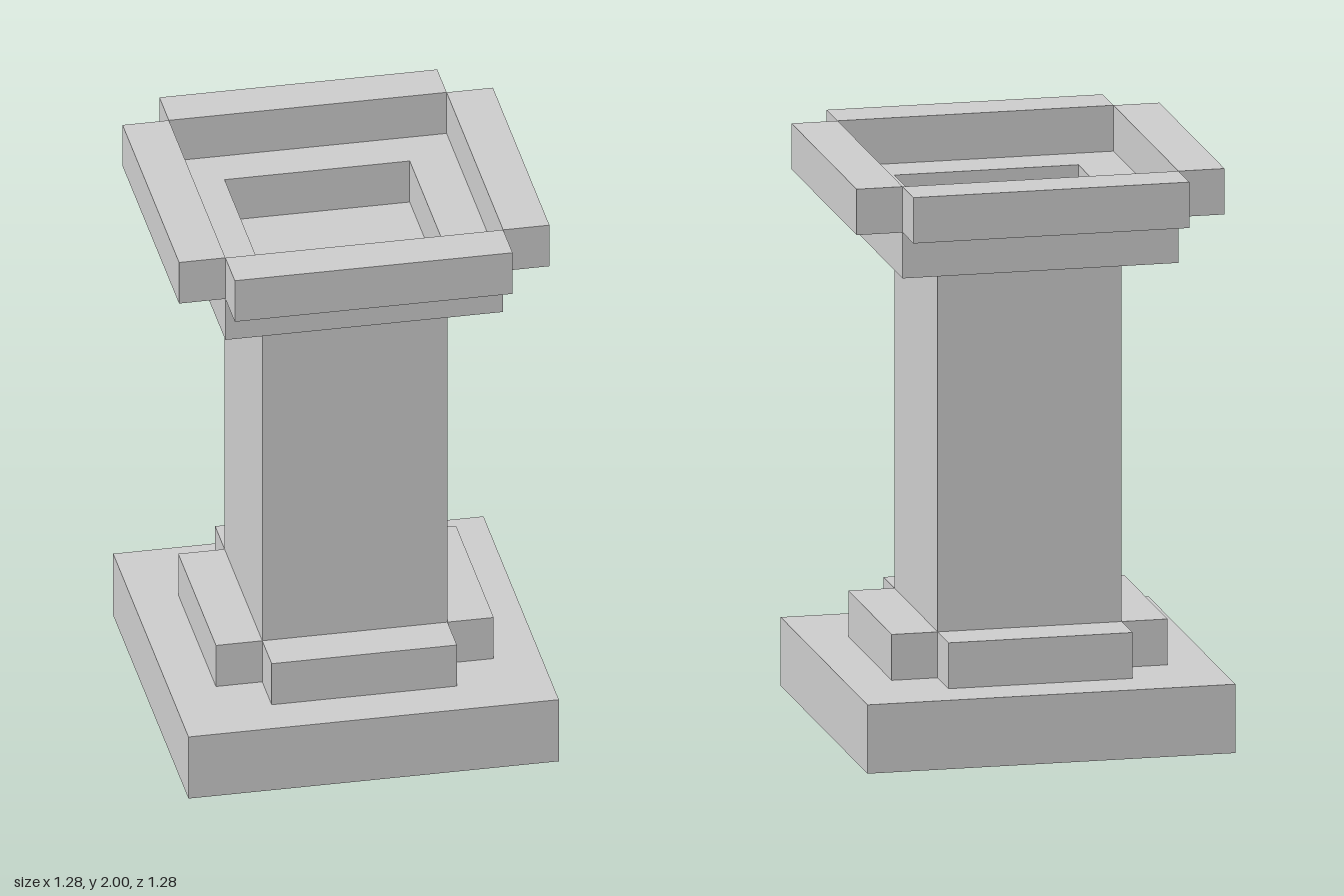
import * as THREE from 'three';

const material = new THREE.MeshStandardMaterial({ color: 0xcccccc, flatShading: true });

function add(parent, name, geometry, x = 0, y = 0, z = 0) {
  const mesh = new THREE.Mesh(geometry, material);
  mesh.name = name;
  mesh.position.set(x, y, z);
  parent.add(mesh);
  return mesh;
}

// Square block standing on y0
function block(parent, name, half, y0, y1) {
  add(parent, name, new THREE.BoxGeometry(half * 2, y1 - y0, half * 2), 0, (y0 + y1) / 2, 0);
}

// Four bars around a square, leaving the corners notched
function bars(parent, name, inner, outer, y0, y1) {
  const group = new THREE.Group();
  group.name = name;
  const depth = outer - inner;
  const geometry = new THREE.BoxGeometry(inner * 2, y1 - y0, depth);
  const r = (inner + outer) / 2;
  for (let i = 0; i < 4; i++) {
    const a = i * Math.PI / 2;
    const bar = add(group, name + 'Bar', geometry, Math.sin(a) * r, (y0 + y1) / 2, Math.cos(a) * r);
    bar.rotation.y = a;
  }
  parent.add(group);
}

function square(PathType, h) {
  return new PathType([[-h, -h], [h, -h], [h, h], [-h, h]].map(([x, y]) => new THREE.Vector2(x, y)));
}

export function createModel() {
  const model = new THREE.Group();
  model.name = 'pedestal';

  // Foot, its moulding and the shaft
  block(model, 'baseSlab', 0.64, 0, 0.24);
  bars(model, 'baseMoulding', 0.32, 0.48, 0.24, 0.4);
  block(model, 'shaft', 0.32, 0.24, 1.68);

  // Square collar, open above the shaft to form the basin
  const ring = square(THREE.Shape, 0.48);
  ring.holes.push(square(THREE.Path, 0.32));
  const collar = new THREE.ExtrudeGeometry(ring, { depth: 0.16, bevelEnabled: false });
  collar.rotateX(-Math.PI / 2);
  add(model, 'collar', collar, 0, 1.68, 0);

  // Notched rim around the top
  bars(model, 'topRim', 0.48, 0.64, 1.84, 2);

  return model;
}
